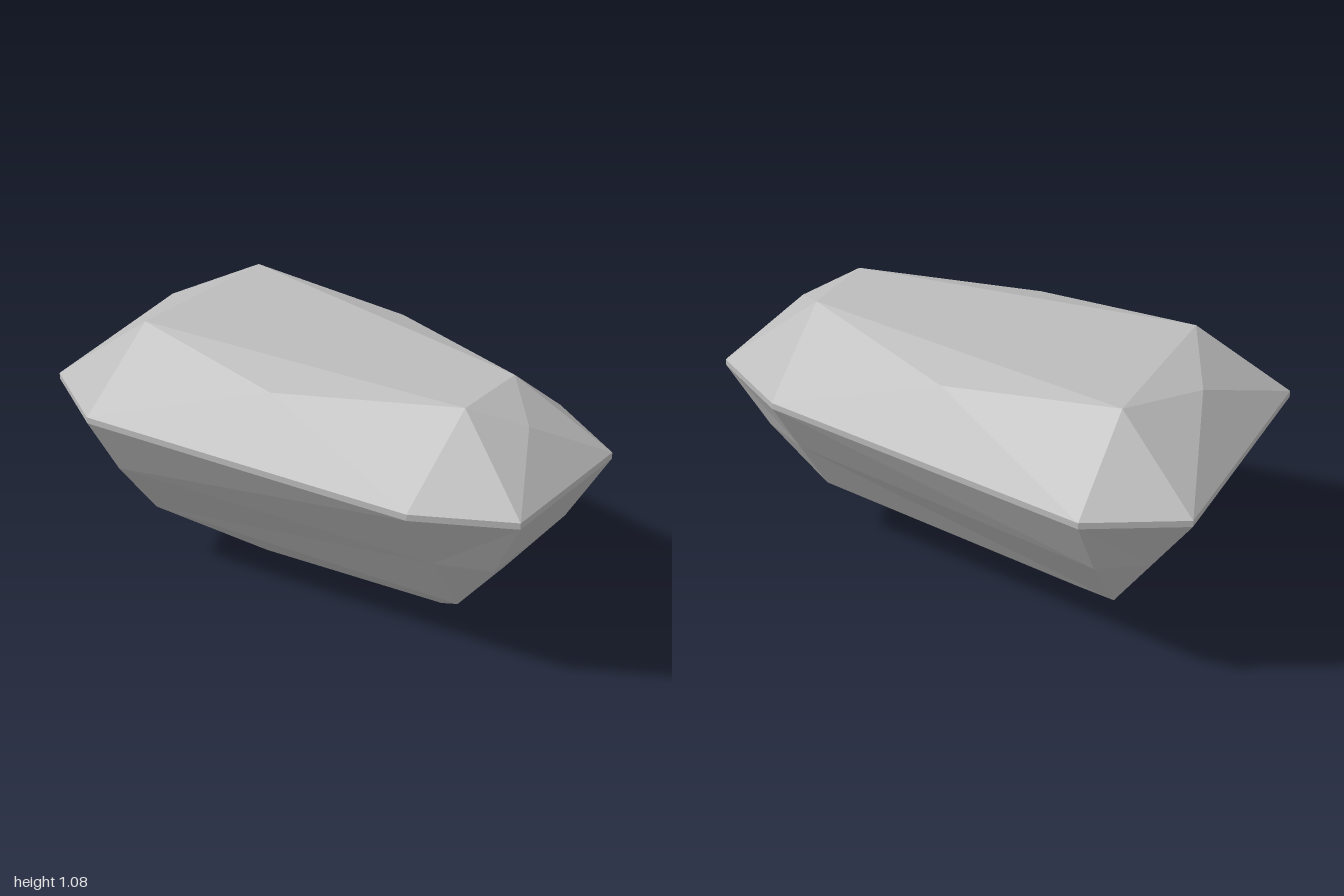
import * as THREE from 'three';

const stone = new THREE.MeshStandardMaterial({ color: 0xbcbcbc });
stone.name = 'grey stone';

const mirror = ([x, y, z]) => [-x, y, z];
const CENTRE = new THREE.Vector3(0, 0.6, 0);

// Flat facets: each polygon is fanned into triangles that face away from the centre
function facets(name, polygons) {
  const positions = [];
  for (const poly of polygons) {
    for (let i = 1; i < poly.length - 1; i++) {
      const [a, b, c] = [poly[0], poly[i], poly[i + 1]].map((p) => new THREE.Vector3(...p));
      const normal = b.clone().sub(a).cross(c.clone().sub(a));
      const outward = normal.dot(a.clone().sub(CENTRE)) > 0;
      for (const p of outward ? [a, b, c] : [a, c, b]) positions.push(p.x, p.y, p.z);
    }
  }
  const geometry = new THREE.BufferGeometry();
  geometry.setAttribute('position', new THREE.Float32BufferAttribute(positions, 3));
  geometry.computeVertexNormals();
  const mesh = new THREE.Mesh(geometry, stone);
  mesh.name = name;
  return mesh;
}

// Adds the -x copy of every polygon
const bothSides = (polygons) => [...polygons, ...polygons.map((p) => p.map(mirror))];

// Polygons that cross the middle plane: right half chain plus its mirror
const across = (a, b) => [a, b, mirror(b), mirror(a)];

export function createModel() {
  const group = new THREE.Group();
  group.name = 'cutGem';

  // Girdle corners on the +x side, front to back
  const outline = [[0.3, 1], [0.49, 0.665], [0.665, -0.665], [0.475, -1]];
  const top = outline.map(([x, z]) => [x, 0.81, z]);
  const low = outline.map(([x, z]) => [x, 0.785, z]);

  // Crown: table, star facets and bevels
  const tableFront = [0.155, 1.075, 0.665];
  const tableBack = [0.33, 1.075, -0.665];
  const starFront = [0, 0.99, 0.83];
  const starBack = [0, 1.02, -0.83];
  const starSide = [0.4, 1.02, 0];
  group.add(facets('crown', [
    across(tableFront, tableBack),
    [tableFront, mirror(tableFront), starFront],
    [tableBack, mirror(tableBack), starBack],
    [top[0], mirror(top[0]), starFront],
    [top[3], mirror(top[3]), starBack],
    ...bothSides([
      [tableFront, tableBack, starSide],
      [top[1], top[2], starSide],
      [tableFront, starSide, top[1]],
      [tableBack, starSide, top[2]],
      [tableFront, starFront, top[0]],
      [tableBack, starBack, top[3]],
      [tableFront, top[0], top[1]],
      [tableBack, top[2], top[3]],
    ]),
  ]));

  // Girdle: thin upright band
  const band = [0, 1, 2].map((i) => [top[i], top[i + 1], low[i + 1], low[i]]);
  group.add(facets('girdle', [
    across(top[0], low[0]),
    across(top[3], low[3]),
    ...bothSides(band),
  ]));

  // Pavilion: two tiers of facets narrowing to a sloping keel
  const mid = [[0.235, 0.525, 0.863], [0.325, 0.525, 0.665], [0.52, 0.525, -0.665], [0.403, 0.525, -0.834]];
  const footFront = [0.155, 0.26, 0.665];
  const footBack = [0.33, 0.26, -0.665];
  const keelFront = [0, 0.105, 0.49];
  const keelBack = [0, 0, -0.375];
  group.add(facets('pavilion', [
    across(low[0], mid[0]),
    across(mid[0], footFront),
    across(low[3], mid[3]),
    across(mid[3], footBack),
    [footFront, mirror(footFront), keelFront],
    [footBack, mirror(footBack), keelBack],
    ...bothSides([
      [low[0], low[1], mid[1], mid[0]],
      [mid[0], mid[1], footFront],
      [low[1], low[2], mid[2], mid[1]],
      [mid[1], mid[2], footBack],
      [mid[1], footBack, footFront],
      [low[2], low[3], mid[3], mid[2]],
      [mid[2], mid[3], footBack],
      [footFront, footBack, keelBack, keelFront],
    ]),
  ]));

  return group;
}
